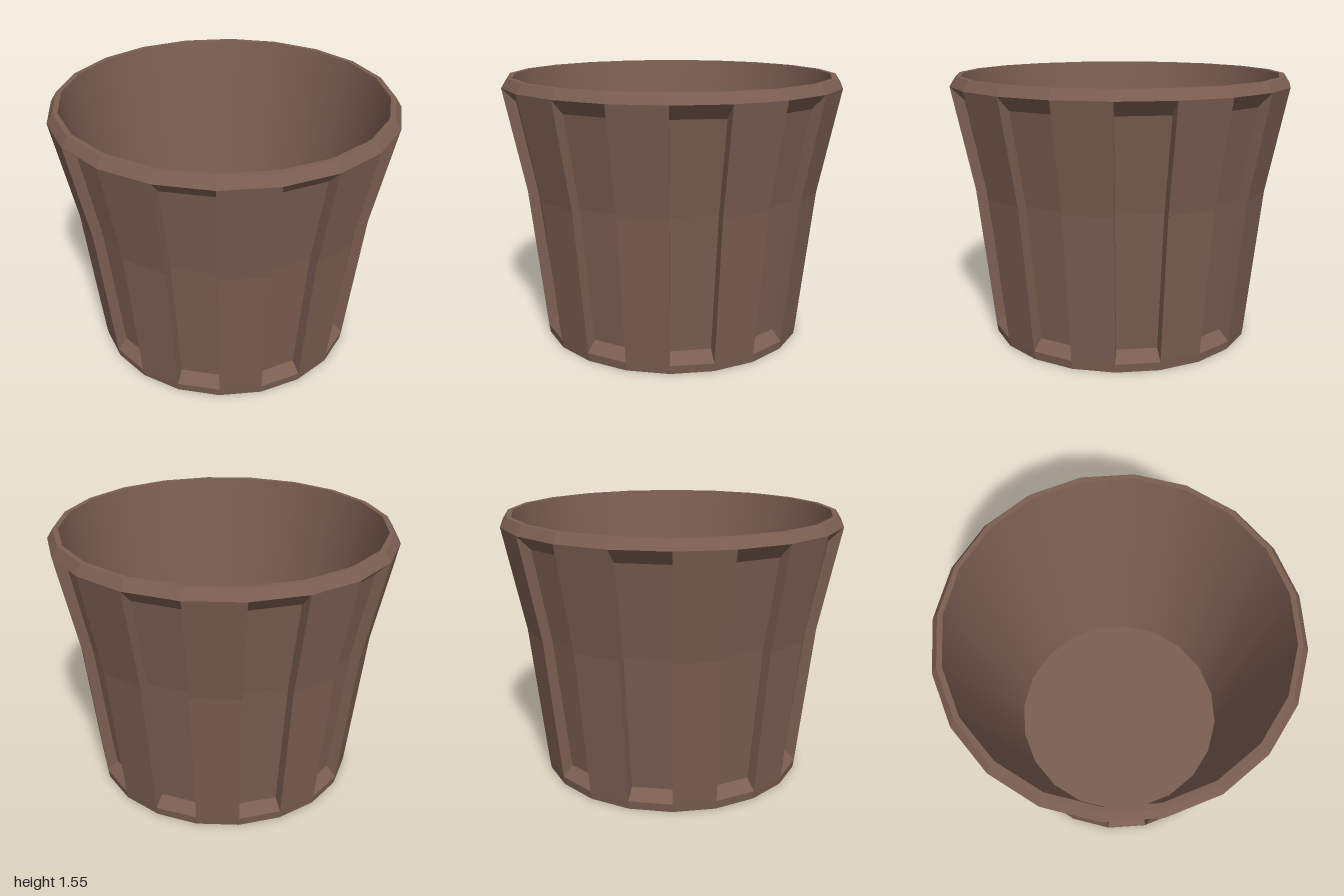
import * as THREE from 'three';

const SIDES = 20;
const STEP = (Math.PI * 2) / SIDES;

// Profiles as [radius, height], bottom to top
const RIB = [[0.79, 0.05], [0.88, 0.9], [1.0, 1.5]];
const PANEL = [[0.73, 0.11], [0.82, 0.9], [0.92, 1.42]];
const FOOT = [[0.783, 0], [0.79, 0.05]];
const RIM = [[1.0, 1.5], [0.965, 1.555], [0.935, 1.555]];
const FLOOR_Y = 0.1;
const FLOOR_R = 0.67;

const point = ([r, y], angle) => [r * Math.sin(angle), y, r * Math.cos(angle)];

// Flat-faced geometry from quads, corners counter-clockwise
function fromQuads(quads) {
  const positions = quads.flatMap(([a, b, c, d]) => [a, b, c, a, c, d].flat());
  const geometry = new THREE.BufferGeometry();
  geometry.setAttribute('position', new THREE.Float32BufferAttribute(positions, 3));
  geometry.computeVertexNormals();
  return geometry;
}

// One outward-facing facet column following a profile
function facet(profile, index) {
  const a = index * STEP, b = (index + 1) * STEP;
  return profile.slice(1).map((top, i) => [
    point(profile[i], a), point(profile[i], b), point(top, b), point(top, a),
  ]);
}

// The two radial side walls of a recessed panel
function recessWalls(index) {
  const a = index * STEP, b = (index + 1) * STEP;
  const quads = [];
  for (let i = 0; i < 2; i++) {
    const loop = [PANEL[i], RIB[i], RIB[i + 1], PANEL[i + 1]];
    quads.push(loop.map((p) => point(p, b)));
    quads.push(loop.map((p) => point(p, a)).reverse());
  }
  return quads;
}

export function createModel() {
  const group = new THREE.Group();
  group.name = 'plantPot';
  const clay = new THREE.MeshStandardMaterial({ color: 0x7b5e52 });
  clay.name = 'brownClay';

  const add = (name, geometry) => {
    const mesh = new THREE.Mesh(geometry, clay);
    mesh.name = name;
    group.add(mesh);
    return mesh;
  };

  // Alternating recessed panels and raised ribs between foot and rim
  const ribs = [], panels = [], foot = [], rim = [];
  for (let i = 0; i < SIDES; i++) {
    foot.push(...facet(FOOT, i));
    rim.push(...facet(RIM, i));
    if (i % 2) ribs.push(...facet(RIB, i));
    else panels.push(...facet([RIB[0], ...PANEL, RIB[2]], i), ...recessWalls(i));
  }
  add('foot', fromQuads(foot));
  add('ribs', fromQuads(ribs));
  add('recessedPanels', fromQuads(panels));
  add('rim', fromQuads(rim));

  // Smooth inner wall, facing inwards
  const lining = [new THREE.Vector2(...RIM[2]), new THREE.Vector2(FLOOR_R, FLOOR_Y)];
  add('innerWall', new THREE.LatheGeometry(lining, SIDES));

  // Inner floor and underside
  const floor = add('innerFloor', new THREE.CircleGeometry(FLOOR_R, SIDES));
  floor.rotation.x = -Math.PI / 2;
  floor.position.y = FLOOR_Y;
  const underside = add('underside', new THREE.CircleGeometry(FOOT[0][0], SIDES));
  underside.rotation.x = Math.PI / 2;

  return group;
}
